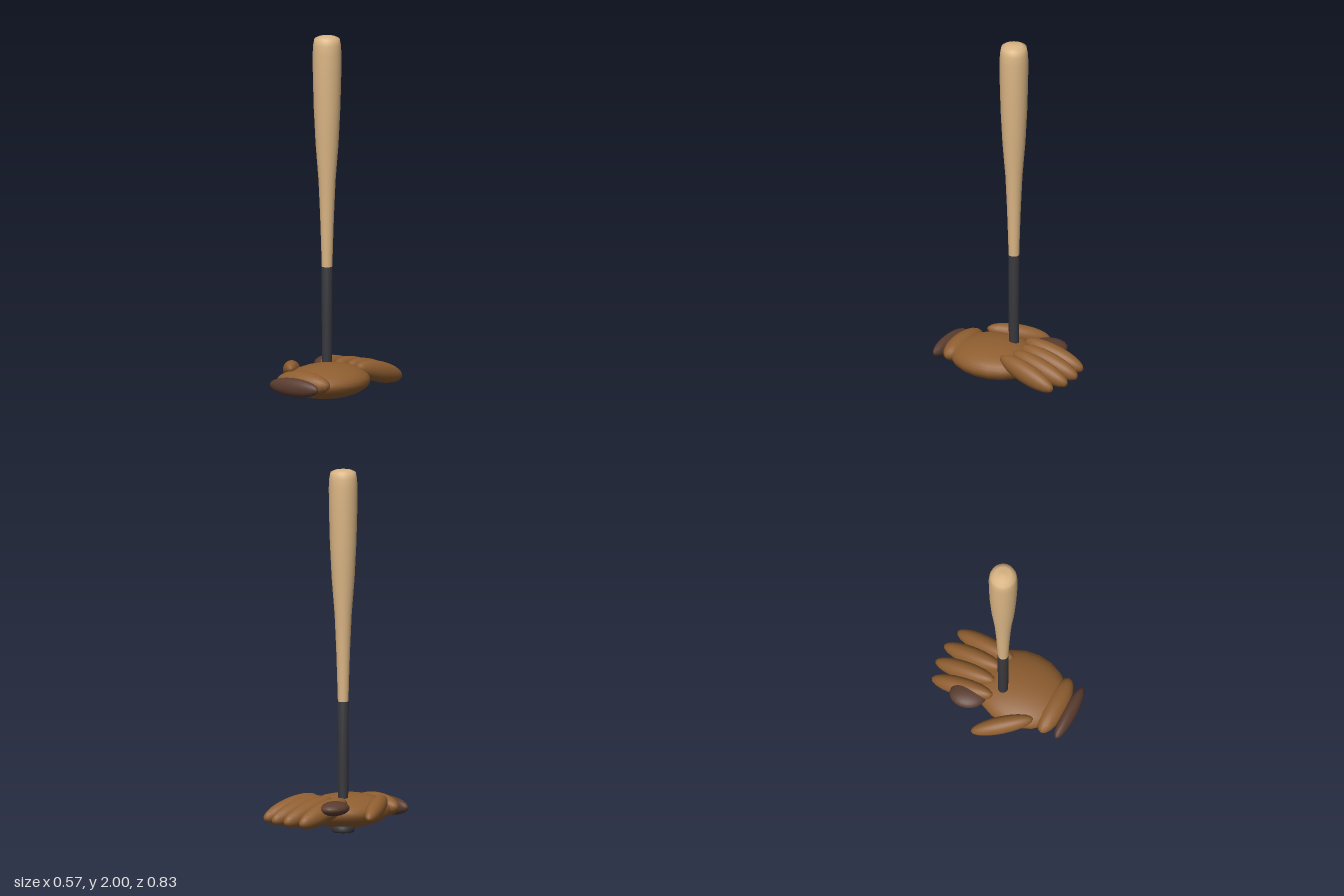
import * as THREE from 'three';

const mat = (name, color) => {
  const m = new THREE.MeshStandardMaterial({ color });
  m.name = name;
  return m;
};

export function createModel() {
  const model = new THREE.Group();
  const wood = mat('paleWood', 0xdbb685);
  const grip = mat('darkGrip', 0x38383d);
  const leather = mat('leather', 0x8f5e30);
  const trim = mat('darkLeather', 0x5a3c2f);

  const add = (parent, name, geometry, material) => {
    const mesh = new THREE.Mesh(geometry, material);
    mesh.name = name;
    parent.add(mesh);
    return mesh;
  };
  const lathe = (points) =>
    new THREE.LatheGeometry(points.map(([r, y]) => new THREE.Vector2(r, y)), 32);

  // Bat: knob, wrapped handle and tapering barrel
  const bat = new THREE.Group();
  bat.name = 'bat';
  model.add(bat);
  add(bat, 'knob', lathe([[0, 0], [0.056, 0], [0.062, 0.01], [0.062, 0.03], [0.052, 0.04], [0.03, 0.05]]), grip);
  add(bat, 'handleGrip', lathe([[0.027, 0.03], [0.029, 0.4], [0.031, 0.72], [0, 0.72]]), grip);
  add(bat, 'barrel', lathe([
    [0.029, 0.715], [0.033, 0.85], [0.038, 1.0], [0.047, 1.2], [0.063, 1.4], [0.073, 1.6],
    [0.078, 1.78], [0.079, 1.9], [0.076, 1.95], [0.069, 1.985], [0.045, 1.996], [0, 2.0],
  ]), wood);

  // Glove: stuffed ellipsoids; direction points along each one's long z axis
  const glove = new THREE.Group();
  glove.name = 'glove';
  model.add(glove);
  const pad = (name, radii, position, material, direction = [0, 0, 1]) => {
    const mesh = add(glove, name, new THREE.SphereGeometry(1, 20, 16).scale(...radii), material);
    mesh.position.set(...position);
    mesh.lookAt(new THREE.Vector3(...position).add(new THREE.Vector3(...direction)));
  };
  pad('palm', [0.22, 0.094, 0.26], [0.065, 0.107, 0.08], leather);
  pad('cuff', [0.176, 0.066, 0.066], [0.06, 0.12, 0.29], leather);
  pad('wristTrim', [0.165, 0.052, 0.04], [0.06, 0.108, 0.375], trim);
  pad('thumb', [0.048, 0.052, 0.176], [-0.179, 0.14, 0.083], leather, [0.098, 0.036, 0.14]);
  pad('webbing', [0.08, 0.04, 0.102], [-0.108, 0.155, -0.16], trim, [0.035, 0, 0.1]);

  // Four fingers, fanned out and drooping toward the tips: [x, z, sideways lean]
  [[-0.076, -0.212, 0.015], [0.014, -0.238, 0.006], [0.107, -0.237, -0.003], [0.197, -0.208, -0.016]]
    .forEach(([x, z, lean], i) =>
      pad(`finger${i + 1}`, [0.052, 0.058, 0.186], [x, 0.13, z], leather, [lean, 0.048, 0.178]));

  return model;
}
